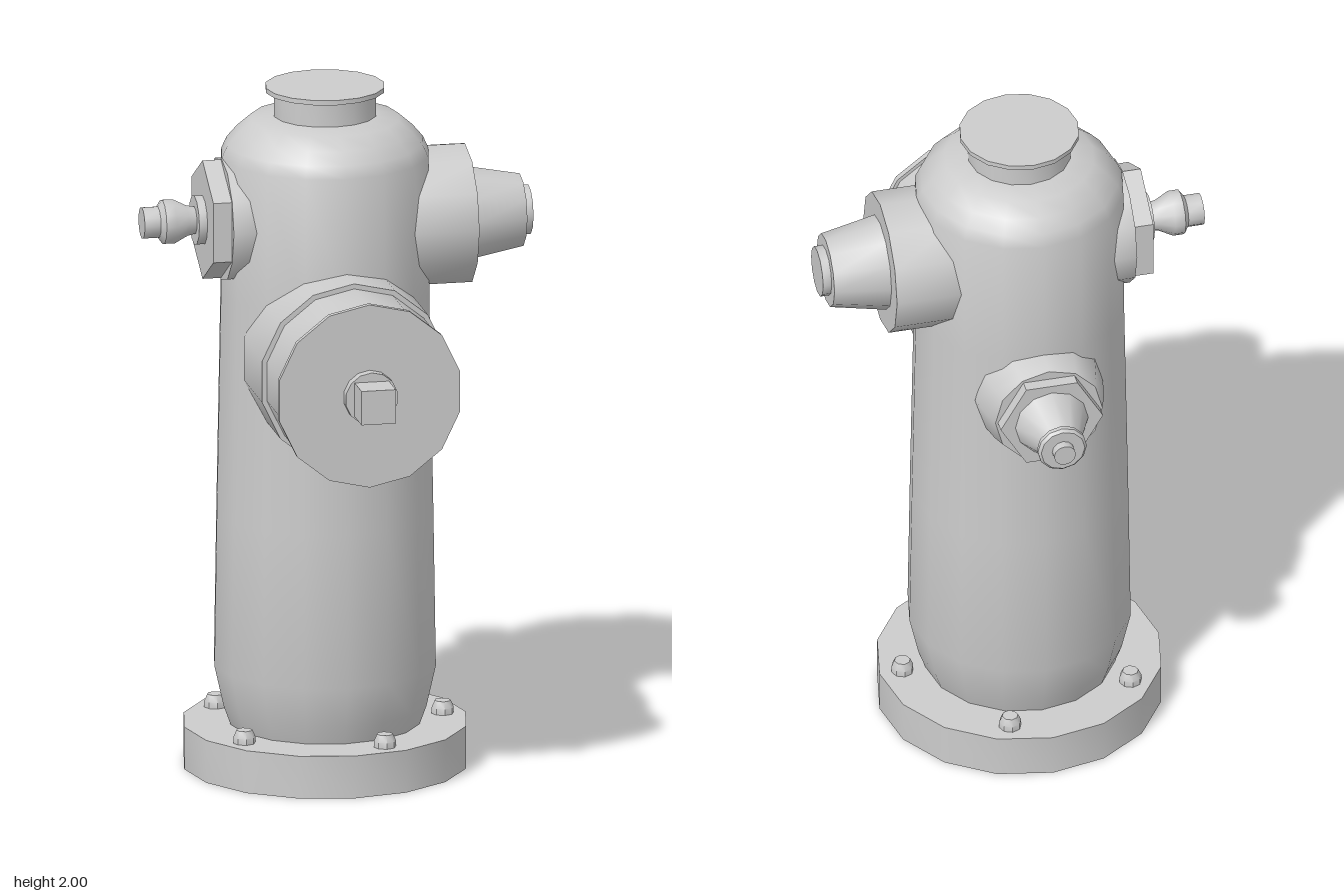
import * as THREE from 'three';
import { toCreasedNormals } from 'three/addons/utils/BufferGeometryUtils.js';

const material = new THREE.MeshStandardMaterial({ color: 0xcccccc, side: THREE.DoubleSide });
const AXIS_X = -0.033, AXIS_Z = -0.095;

// Revolved part from [radius, height] points, listed upwards for an outward surface.
function turned(name, sides, profile, crease = 0.75) {
  const points = profile.map(([r, y]) => new THREE.Vector2(r, y));
  const mesh = new THREE.Mesh(toCreasedNormals(new THREE.LatheGeometry(points, sides), crease), material);
  mesh.name = name;
  return mesh;
}

// Hexagonal nut with corners on its local x axis.
function hexNut(name, radius, from, to) {
  const nut = turned(name, 6, [[0, from], [radius, from], [radius, to], [0, to]]);
  nut.rotation.y = Math.PI / 2;
  return nut;
}

// Outlet group: local y points away from the barrel's axis.
function outlet(name, height, rotX, rotZ, parts) {
  const group = new THREE.Group();
  group.name = name;
  group.position.set(0, height, 0);
  group.rotation.set(rotX, 0, rotZ);
  group.add(...parts);
  return group;
}

export function createModel() {
  const model = new THREE.Group();
  model.name = 'hydrant';
  model.position.set(AXIS_X, 0, AXIS_Z);

  // Hollow base flange, open underneath
  model.add(turned('baseFlange', 16, [[0.41, 0], [0.41, 0.125], [0.275, 0.125]]));

  // Barrel with domed shoulder
  model.add(turned('barrel', 16, [
    [0.275, 0.125], [0.295, 0.18], [0.322, 0.3], [0.315, 0.75], [0.303, 1.4], [0.301, 1.8],
    [0.285, 1.835], [0.255, 1.87], [0.215, 1.905], [0.148, 1.915],
  ]));
  model.add(turned('neck', 16, [[0.148, 1.91], [0.148, 1.986]]));
  model.add(turned('topCap', 16, [[0.148, 1.986], [0.172, 1.986], [0.172, 2], [0, 2]]));

  // Five flange bolts
  for (let i = 0; i < 5; i++) {
    const a = i * Math.PI * 2 / 5;
    const bolt = turned('flangeBolt', 8, [[0.032, 0.12], [0.032, 0.143], [0.023, 0.163], [0, 0.163]]);
    bolt.position.set(0.343 * Math.cos(a), 0, 0.343 * Math.sin(a));
    model.add(bolt);
  }

  // Large front outlet with a square wrench nut
  const wrenchNut = new THREE.Mesh(new THREE.BoxGeometry(0.1, 0.1, 0.1), material);
  wrenchNut.name = 'wrenchNut';
  wrenchNut.position.y = 0.695;
  model.add(outlet('frontOutlet', 1.245, Math.PI / 2, 0, [
    turned('frontSleeve', 14, [[0.275, 0.15], [0.275, 0.405], [0.26, 0.405]]),
    turned('frontCap', 14, [[0.26, 0.4], [0.26, 0.602], [0.27, 0.602], [0.27, 0.62], [0, 0.62]]),
    turned('frontBoss', 14, [[0.077, 0.62], [0.077, 0.65], [0, 0.65]]),
    wrenchNut,
  ]));

  // Left outlet with tapered plug
  model.add(outlet('leftOutlet', 1.6, 0, -Math.PI / 2, [
    turned('leftSleeve', 12, [[0.205, 0.21], [0.205, 0.408], [0.135, 0.408]]),
    turned('leftPlug', 12, [[0.138, 0.408], [0.107, 0.568], [0.073, 0.568], [0.073, 0.593], [0, 0.593]]),
  ]));

  // Right outlet with hex nut and waisted stem
  model.add(outlet('rightOutlet', 1.622, 0, Math.PI / 2, [
    turned('rightSleeve', 12, [[0.18, 0.23], [0.18, 0.303], [0, 0.303]]),
    hexNut('rightHexNut', 0.175, 0.302, 0.357),
    turned('rightStem', 12, [
      [0.072, 0.354], [0.072, 0.381], [0.04, 0.381], [0.045, 0.405], [0.065, 0.444],
      [0.065, 0.474], [0.046, 0.487], [0.046, 0.534], [0, 0.534],
    ]),
  ]));

  // Back outlet with hex nut and conical spout
  model.add(outlet('backOutlet', 1.243, -Math.PI / 2, 0, [
    turned('backSleeve', 12, [[0.188, 0.24], [0.172, 0.315], [0.157, 0.36], [0, 0.36]]),
    hexNut('backHexNut', 0.15, 0.36, 0.395),
    turned('backCone', 12, [[0.107, 0.395], [0.056, 0.505]]),
    turned('backCollar', 12, [
      [0, 0.502], [0.064, 0.502], [0.072, 0.509], [0.072, 0.522], [0.064, 0.53], [0, 0.53],
    ]),
    turned('backTip', 12, [[0.032, 0.53], [0.032, 0.555], [0, 0.555]]),
  ]));

  const root = new THREE.Group();
  root.add(model);
  return root;
}
